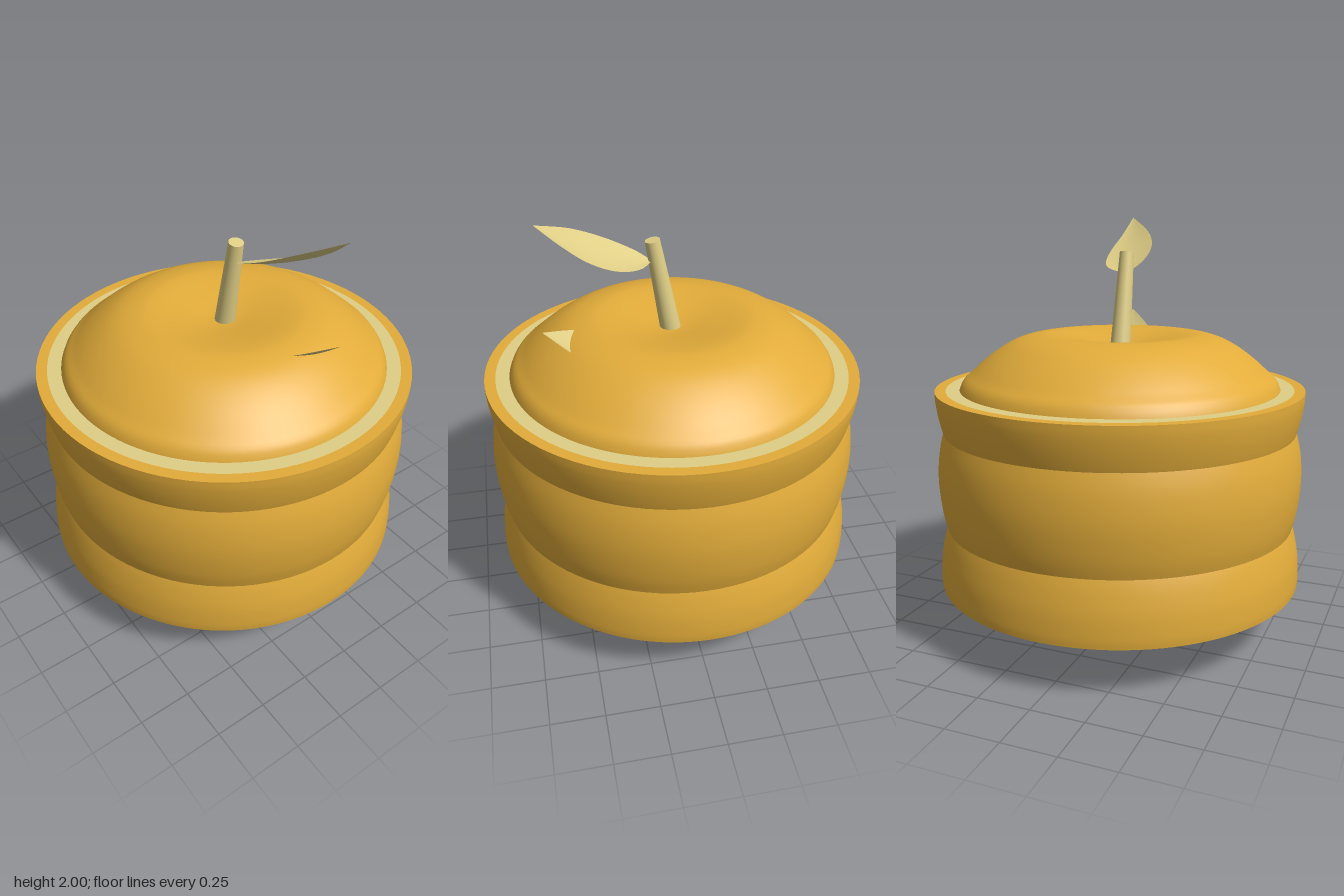
import * as THREE from 'three';

const gold = new THREE.MeshStandardMaterial({ name: 'golden skin', color: 0xe2ac3a });
const pale = new THREE.MeshStandardMaterial({ name: 'pale flesh', color: 0xe0cf86 });
const leafPale = new THREE.MeshStandardMaterial({ name: 'pale leaf', color: 0xe0cf86, side: THREE.DoubleSide });

const smooth = (pts, n) =>
  new THREE.SplineCurve(pts.map(p => new THREE.Vector2(...p))).getPoints(n)
    .map(p => new THREE.Vector2(Math.max(p.x, 0), p.y));

function add(parent, name, geometry, material) {
  const mesh = new THREE.Mesh(geometry, material);
  mesh.name = name;
  parent.add(mesh);
  return mesh;
}

// Flat horizontal ring, facing up or down
function flatRing(parent, name, inner, outer, y, up, material) {
  const ring = add(parent, name, new THREE.RingGeometry(inner, outer, 96), material);
  ring.rotation.x = up ? -Math.PI / 2 : Math.PI / 2;
  ring.position.y = y;
}

// Curved leaf lofted between its front and back edges
function leafGeometry() {
  const v = rows => new THREE.CatmullRomCurve3(rows.map(p => new THREE.Vector3(...p)));
  const front = v([[0.1, 1.742, 0.005], [0.15, 1.77, 0.035], [0.25, 1.82, 0.05], [0.35, 1.87, 0.033],
    [0.45, 1.922, -0.02], [0.53, 1.962, -0.09], [0.605, 2, -0.167]]);
  const back = v([[0.1, 1.738, -0.02], [0.15, 1.745, -0.1], [0.22, 1.763, -0.163], [0.3, 1.79, -0.195],
    [0.4, 1.84, -0.205], [0.5, 1.91, -0.187], [0.605, 2, -0.167]]);
  const n = 24, m = 6, pos = [], idx = [];
  for (let i = 0; i <= n; i++) {
    const a = front.getPoint(i / n), b = back.getPoint(i / n);
    for (let j = 0; j <= m; j++) {
      const t = j / m, p = a.clone().lerp(b, t);
      pos.push(p.x, p.y - 0.1 * a.distanceTo(b) * 4 * t * (1 - t) * 0.6, p.z);
      if (i < n && j < m) {
        const k = i * (m + 1) + j;
        idx.push(k, k + m + 1, k + 1, k + 1, k + m + 1, k + m + 2);
      }
    }
  }
  const g = new THREE.BufferGeometry();
  g.setAttribute('position', new THREE.Float32BufferAttribute(pos, 3));
  g.setIndex(idx);
  g.computeVertexNormals();
  return g;
}

export function createModel() {
  const model = new THREE.Group();
  model.name = 'stackedFruit';

  // Inner fruit with a dimple at both ends
  add(model, 'fruitBody', new THREE.LatheGeometry(smooth([
    [0, 0.06], [0.08, 0.053], [0.2, 0.02], [0.3, 0.004], [0.4, 0.023], [0.5, 0.082], [0.62, 0.175],
    [0.7, 0.255], [0.78, 0.42], [0.81, 0.7], [0.81, 0.95], [0.77, 1.2], [0.7, 1.285], [0.6, 1.368],
    [0.5, 1.425], [0.4, 1.45], [0.32, 1.45], [0.2, 1.43], [0.08, 1.408], [0, 1.404]], 90), 96), gold);

  // Three stacked, bulging slices of skin; the lowest sits slightly off centre
  const bands = {
    lowerBand: [[0.886, 0.255], [0.888, 0.3], [0.882, 0.39], [0.867, 0.47], [0.849, 0.535], [0.825, 0.6]],
    middleBand: [[0.825, 0.45], [0.849, 0.53], [0.872, 0.63], [0.885, 0.77], [0.876, 0.9], [0.853, 1.0], [0.835, 1.05]],
    upperBand: [[0.828, 0.93], [0.853, 1.0], [0.873, 1.08], [0.884, 1.15], [0.886, 1.2]],
  };
  for (const [name, pts] of Object.entries(bands)) {
    const band = add(model, name, new THREE.LatheGeometry(smooth(pts, 24), 96), gold);
    if (name === 'lowerBand') band.position.set(-0.007, 0, 0.003);
  }

  // Cut faces: skin rim around pale flesh
  flatRing(model, 'topRim', 0.835, 0.886, 1.2, true, gold);
  flatRing(model, 'topFlesh', 0.72, 0.835, 1.2, true, pale);
  const base = new THREE.Group();
  base.name = 'bottomCut';
  base.position.set(-0.007, 0, 0.003);
  flatRing(base, 'bottomRim', 0.835, 0.886, 0.255, false, gold);
  flatRing(base, 'bottomFlesh', 0.66, 0.835, 0.255, false, pale);
  model.add(base);

  // Leaning, tapered stem
  const from = new THREE.Vector3(0.004, 1.38, 0), to = new THREE.Vector3(0.088, 1.833, 0);
  const dir = to.clone().sub(from);
  const stem = add(model, 'stem', new THREE.CylinderGeometry(0.034, 0.049, dir.length(), 32), pale);
  stem.position.copy(from).add(to).multiplyScalar(0.5);
  stem.quaternion.setFromUnitVectors(new THREE.Vector3(0, 1, 0), dir.normalize());

  // Leaf on the stem, and a lower one whose tip pokes through the fruit
  const leaf = leafGeometry();
  add(model, 'upperLeaf', leaf, leafPale);
  add(model, 'lowerLeaf', leaf, leafPale).position.y = -0.487;

  return model;
}
